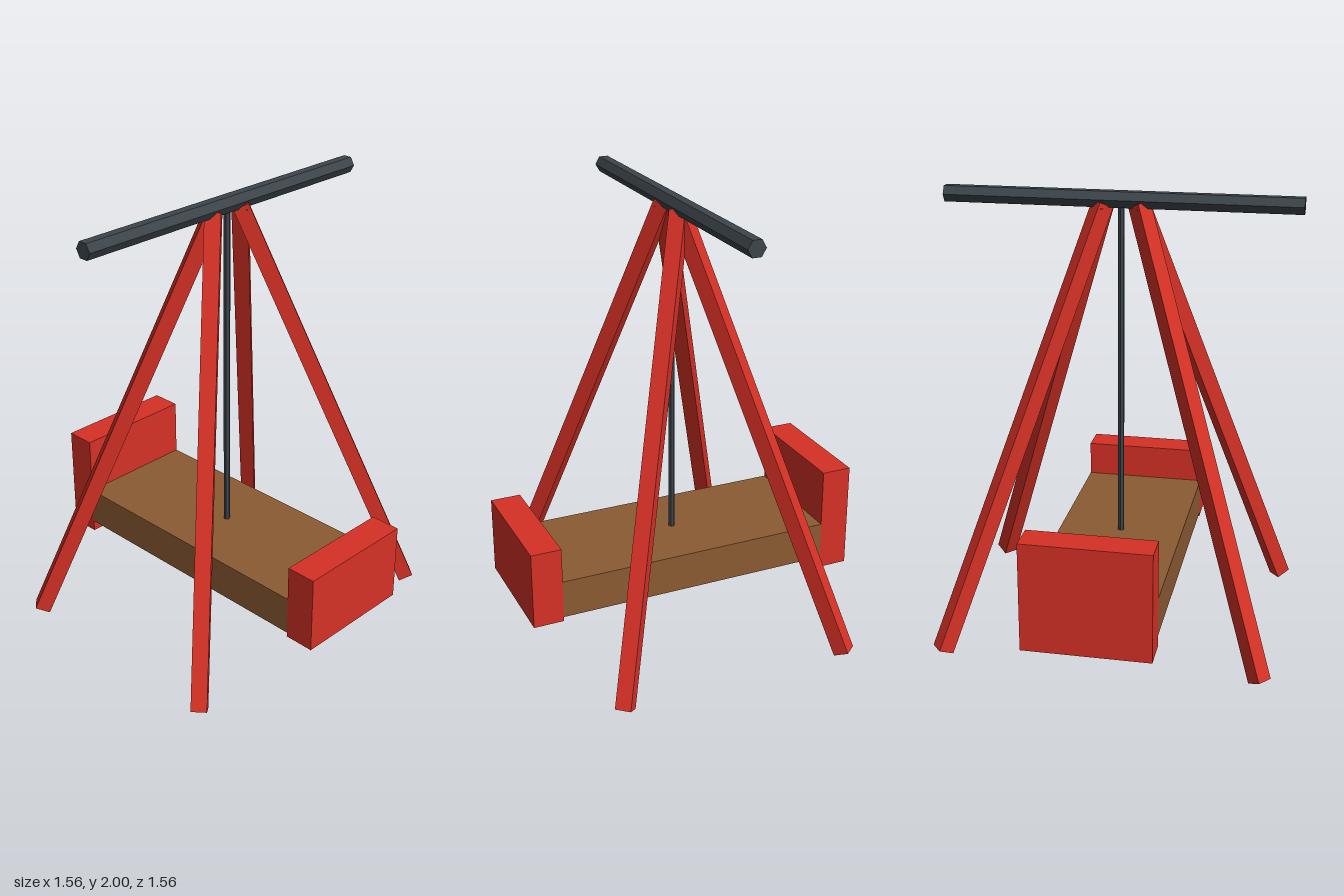
import * as THREE from 'three';

const paint = (name, color) => {
  const m = new THREE.MeshStandardMaterial({ color });
  m.name = name;
  return m;
};

export function createModel() {
  const red = paint('red paint', 0xd63126);
  const wood = paint('brown wood', 0x8b5b32);
  const iron = paint('dark iron', 0x3d454b);
  iron.flatShading = true;

  const group = new THREE.Group();
  group.name = 'swing';

  const add = (name, geometry, material, x = 0, y = 0, z = 0) => {
    const mesh = new THREE.Mesh(geometry, material);
    mesh.name = name;
    mesh.position.set(x, y, z);
    group.add(mesh);
    return mesh;
  };

  // Box given by its height and depth ranges, as wide as the seat
  const width = 0.565;
  const block = (name, material, y0, y1, z0, z1) =>
    add(name, new THREE.BoxGeometry(width, y1 - y0, z1 - z0), material,
      0, (y0 + y1) / 2, (z0 + z1) / 2);

  // Hexagonal crossbar with a flat top
  const bar = new THREE.CylinderGeometry(0.04, 0.04, 1.556, 6).rotateZ(Math.PI / 2);
  add('crossbar', bar, iron, 0, 1.965, 0);

  // Hanging rod from the crossbar to the seat
  const rodBottom = 0.42, rodTop = 1.95;
  add('hangingRod', new THREE.CylinderGeometry(0.015, 0.015, rodTop - rodBottom, 6), iron,
    0, (rodBottom + rodTop) / 2, 0);

  // Seat with a low front board and a tall back board
  block('seat', wood, 0.25, 0.425, -0.64, 0.64);
  block('frontBoard', red, 0.23, 0.585, 0.64, 0.778);
  block('backBoard', red, 0.197, 0.69, -0.778, -0.64);

  // Four square legs splayed outward, one side kept level
  for (const sx of [-1, 1]) {
    for (const sz of [-1, 1]) {
      const foot = new THREE.Vector3(0.707 * sx, 0.0145, 0.53 * sz);
      const head = new THREE.Vector3(0.08 * sx, 1.942, 0);
      const axis = head.clone().sub(foot);
      const leg = add((sz > 0 ? 'front' : 'back') + (sx > 0 ? 'Left' : 'Right') + 'Leg',
        new THREE.BoxGeometry(0.07, axis.length(), 0.07), red);
      leg.position.copy(foot).add(head).multiplyScalar(0.5);
      axis.normalize();
      const side = new THREE.Vector3(0, 1, 0).cross(axis).normalize();
      const out = side.clone().cross(axis);
      leg.quaternion.setFromRotationMatrix(new THREE.Matrix4().makeBasis(side, axis, out));
    }
  }

  return group;
}
